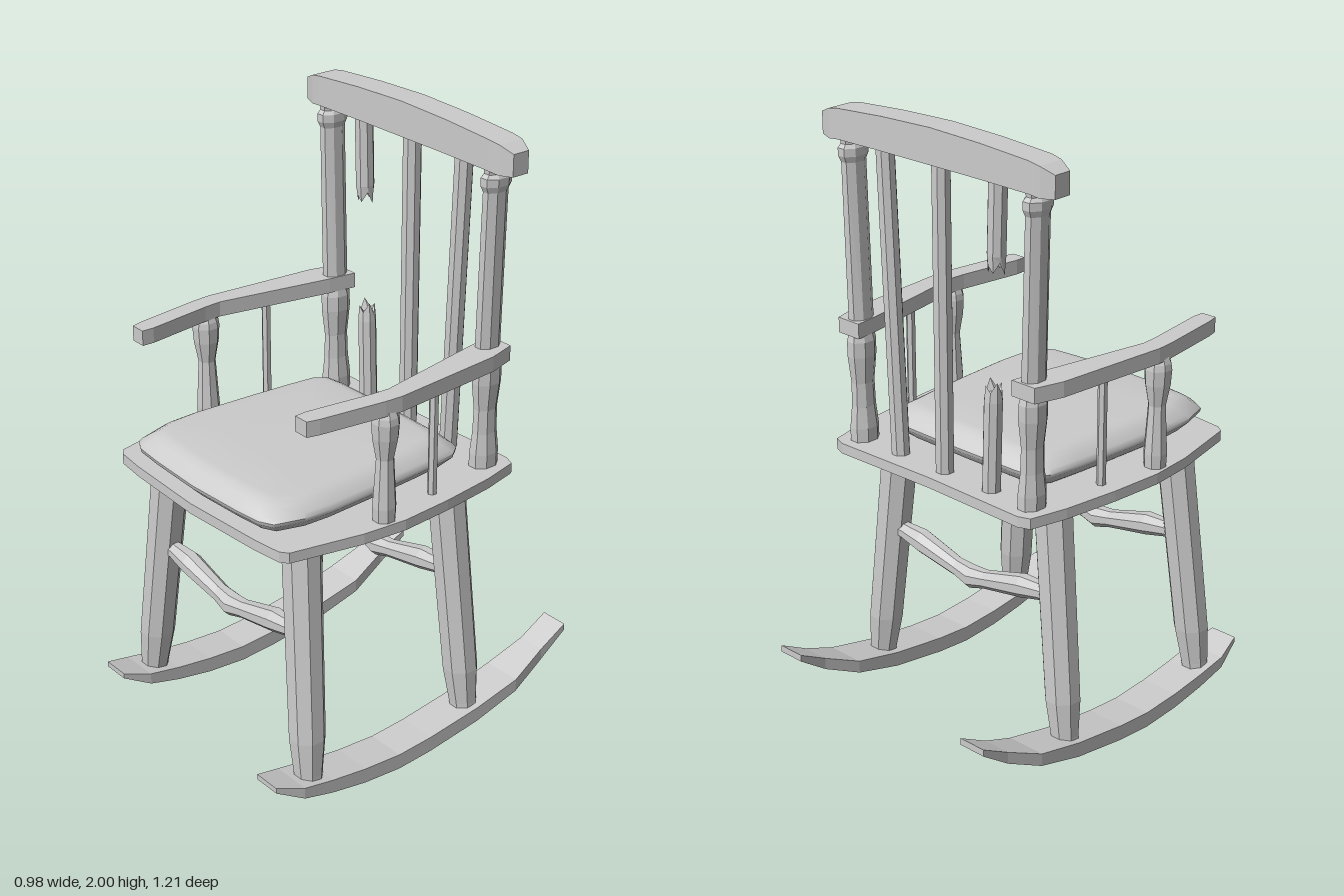
import * as THREE from 'three';
import { toCreasedNormals } from 'three/addons/utils/BufferGeometryUtils.js';

const V = (x, y, z) => new THREE.Vector3(x, y, z);
const wood = new THREE.MeshStandardMaterial({ color: 0xcccccc, flatShading: true });
const soft = new THREE.MeshStandardMaterial({ color: 0xcccccc });

// Skin a row of equal-length rings and cap both ends
function loft(rings) {
  const tris = [];
  const n = rings[0].length;
  for (let i = 0; i < rings.length - 1; i++) {
    for (let j = 0; j < n; j++) {
      const k = (j + 1) % n;
      const [a, b, c, d] = [rings[i][j], rings[i][k], rings[i + 1][k], rings[i + 1][j]];
      tris.push([a, b, c], [a, c, d]);
    }
  }
  [rings[0], rings[rings.length - 1]].forEach((ring, end) => {
    const mid = ring.reduce((s, p) => s.add(p), V(0, 0, 0)).divideScalar(n);
    for (let j = 0; j < n; j++) {
      const p = ring[j], q = ring[(j + 1) % n];
      tris.push(end ? [mid, p, q] : [mid, q, p]);
    }
  });
  // Turn the faces outward whichever way the rings run
  const volume = tris.reduce((s, [a, b, c]) => s + a.dot(b.clone().cross(c)), 0);
  const points = tris.flatMap(([a, b, c]) => (volume < 0 ? [a, c, b] : [a, b, c]));
  const geometry = new THREE.BufferGeometry().setFromPoints(points);
  geometry.computeVertexNormals();
  return geometry;
}

// Upright turned bar: profile rows are [y, radius in x, radius in z]
function turned(foot, top, profile, sides = 8, jagAt = -1) {
  const rings = profile.map(([y, rx, rz = rx], i) => {
    const t = (y - foot.y) / (top.y - foot.y);
    const c = foot.clone().lerp(top, t);
    return Array.from({ length: sides }, (_, j) => {
      const a = ((j + 0.5) / sides) * Math.PI * 2;
      const grow = 1 / Math.cos(Math.PI / sides);
      const jag = i === jagAt ? [0.02, -0.012, 0.008, -0.02][j % 4] : 0;
      return V(c.x + rx * grow * Math.cos(a), y + jag, c.z + rz * grow * Math.sin(a));
    });
  });
  return loft(rings);
}

// Bar running along z: rows are [z, x0, x1, y0, y1]
const barZ = (rows) => loft(rows.map(([z, x0, x1, y0, y1]) =>
  [V(x0, y0, z), V(x1, y0, z), V(x1, y1, z), V(x0, y1, z)]));

// Bar running along x: rows are [x, y0, y1, z0, z1]
const barX = (rows) => loft(rows.map(([x, y0, y1, z0, z1]) =>
  [V(x, y0, z0), V(x, y1, z0), V(x, y1, z1), V(x, y0, z1)]));

// Complete a right-hand half outline of [x, z] points
const mirrorOutline = (half) => [
  ...half,
  ...half.filter(([x]) => x > 0).reverse().map(([x, z]) => [-x, z]),
];

export function createModel() {
  const model = new THREE.Group();
  const add = (name, geometry, material = wood) => {
    const mesh = new THREE.Mesh(geometry, material);
    mesh.name = name;
    model.add(mesh);
  };

  // Seat board with bowed sides
  const seatOutline = mirrorOutline([
    [0, -0.37], [0.38, -0.38], [0.42, -0.365], [0.45, -0.24], [0.475, -0.05],
    [0.488, 0.13], [0.475, 0.28], [0.425, 0.52], [0.4, 0.54], [0.3, 0.552], [0, 0.567],
  ]);
  add('seat', loft([0.87, 0.905].map((y) => seatOutline.map(([x, z]) => V(x, y, z)))));

  // Padded cushion
  const cushionOutline = mirrorOutline([
    [0, -0.243], [0.24, -0.24], [0.31, -0.23], [0.34, -0.19], [0.352, -0.08], [0.366, 0.1],
    [0.378, 0.32], [0.374, 0.42], [0.345, 0.515], [0.3, 0.538], [0.2, 0.548], [0, 0.557],
  ]);
  const cushionLayers = [
    [0.903, 0.86], [0.916, 0.91], [0.95, 0.995], [0.962, 1], [0.975, 0.975],
    [0.995, 0.91], [1.006, 0.86], [1.01, 0.8], [1.012, 0.4],
  ];
  const cushion = loft(cushionLayers.map(([y, s]) =>
    cushionOutline.map(([x, z]) => V(x * s, y, 0.157 + (z - 0.157) * s))));
  add('cushion', toCreasedNormals(cushion, 0.8), soft);

  // Crest rail
  const halfRail = [
    [0.475, 1.885, 1.955, -0.33, -0.27], [0.43, 1.882, 1.975, -0.345, -0.255],
    [0.39, 1.886, 1.982, -0.345, -0.25], [0.2, 1.888, 1.994, -0.345, -0.25],
  ];
  add('crestRail', barX([
    ...halfRail, [0, 1.888, 2, -0.345, -0.25],
    ...halfRail.slice().reverse().map(([x, ...rest]) => [-x, ...rest]),
  ]));

  // Back spindles, the right one snapped in two
  const r = 0.028;
  add('middleSpindle', turned(V(0, 0.9, -0.3), V(0, 1.9, -0.3), [[0.9, r], [1.9, r]]));
  add('leftSpindle', turned(V(0.195, 0.9, -0.3), V(0.235, 1.9, -0.3), [[0.9, r], [1.9, r]]));
  const foot = V(-0.198, 0.9, -0.3), top = V(-0.23, 1.9, -0.3);
  add('brokenSpindleLower', turned(foot, top,
    [[0.9, r], [1.2, r], [1.245, 0.024], [1.225, 0.012]], 8, 2));
  add('brokenSpindleUpper', turned(foot, top,
    [[1.645, 0.012], [1.62, 0.024], [1.66, r], [1.9, r]], 8, 1));

  for (const s of [1, -1]) {
    const side = s > 0 ? 'left' : 'right';

    // Rocker runner
    add(side + 'Rocker', barZ([
      [0.604, 0.36, 0.455, 0.112, 0.13], [0.51, 0.342, 0.476, 0.062, 0.1],
      [0.4, 0.342, 0.476, 0.034, 0.08], [0.27, 0.342, 0.476, 0.012, 0.063],
      [0.13, 0.342, 0.476, 0.002, 0.054], [0, 0.342, 0.476, 0.011, 0.063],
      [-0.2, 0.342, 0.476, 0.04, 0.09], [-0.37, 0.342, 0.476, 0.085, 0.128],
      [-0.5, 0.362, 0.457, 0.145, 0.185], [-0.604, 0.36, 0.455, 0.217, 0.24],
    ].map(([z, a, b, ...ys]) => [z, s * a, s * b, ...ys])));

    // Splayed legs
    for (const [name, zFoot, zTop] of [['FrontLeg', 0.447, 0.402], ['BackLeg', -0.197, -0.17]]) {
      add(side + name, turned(V(s * 0.415, 0.05, zFoot), V(s * 0.33, 0.875, zTop), [
        [0.05, 0.04], [0.1, 0.043], [0.22, 0.054], [0.84, 0.058], [0.86, 0.062], [0.875, 0.062],
      ]));
    }

    // Back post: turned below the arm, slimmer above
    add(side + 'BackPostLower', turned(V(s * 0.362, 0.9, -0.297), V(s * 0.366, 1.27, -0.297), [
      [0.9, 0.037, 0.047], [0.95, 0.037, 0.047], [1.02, 0.03, 0.04], [1.1, 0.028, 0.038],
      [1.19, 0.037, 0.047], [1.24, 0.037, 0.047], [1.27, 0.03, 0.04],
    ]));
    add(side + 'BackPostUpper', turned(V(s * 0.366, 1.29, -0.295), V(s * 0.381, 1.9, -0.295), [
      [1.29, 0.03, 0.041], [1.815, 0.027, 0.041], [1.835, 0.033, 0.05], [1.86, 0.033, 0.05],
      [1.872, 0.026, 0.04], [1.9, 0.03, 0.042],
    ]));

    // Bent armrest
    add(side + 'Arm', barZ([
      [-0.345, 0.325, 0.415], [-0.25, 0.338, 0.442], [0.14, 0.412, 0.476],
      [0.2, 0.408, 0.472], [0.42, 0.378, 0.442], [0.46, 0.38, 0.432],
    ].map(([z, a, b]) => [z, s * a, s * b, 1.262, 1.312])));

    // Arm supports
    add(side + 'ArmPost', turned(V(s * 0.44, 0.9, 0.175), V(s * 0.443, 1.27, 0.175), [
      [0.9, 0.033], [0.95, 0.035], [1.02, 0.031], [1.11, 0.026],
      [1.18, 0.038], [1.23, 0.041], [1.25, 0.038], [1.27, 0.03],
    ]));
    add(side + 'ArmSpindle', turned(V(s * 0.41, 0.9, -0.042), V(s * 0.41, 1.27, -0.042),
      [[0.9, 0.013], [1.27, 0.013]], 6));
  }

  // Stretchers between the legs, dipping to a swelling in the middle
  for (const [name, z] of [['frontStretcher', 0.418], ['backStretcher', -0.183]]) {
    const rows = [
      [-0.35, 0.555, 0.026], [-0.3, 0.553, 0.03], [-0.22, 0.543, 0.039], [-0.06, 0.506, 0.031],
      [0, 0.495, 0.038],
      [0.06, 0.506, 0.031], [0.22, 0.543, 0.039], [0.3, 0.553, 0.03], [0.35, 0.555, 0.026],
    ];
    add(name, loft(rows.map(([x, y, radius]) => Array.from({ length: 8 }, (_, j) => {
      const a = ((j + 0.5) / 8) * Math.PI * 2;
      return V(x, y + radius * Math.cos(a), z + radius * Math.sin(a));
    }))));
  }

  return model;
}
